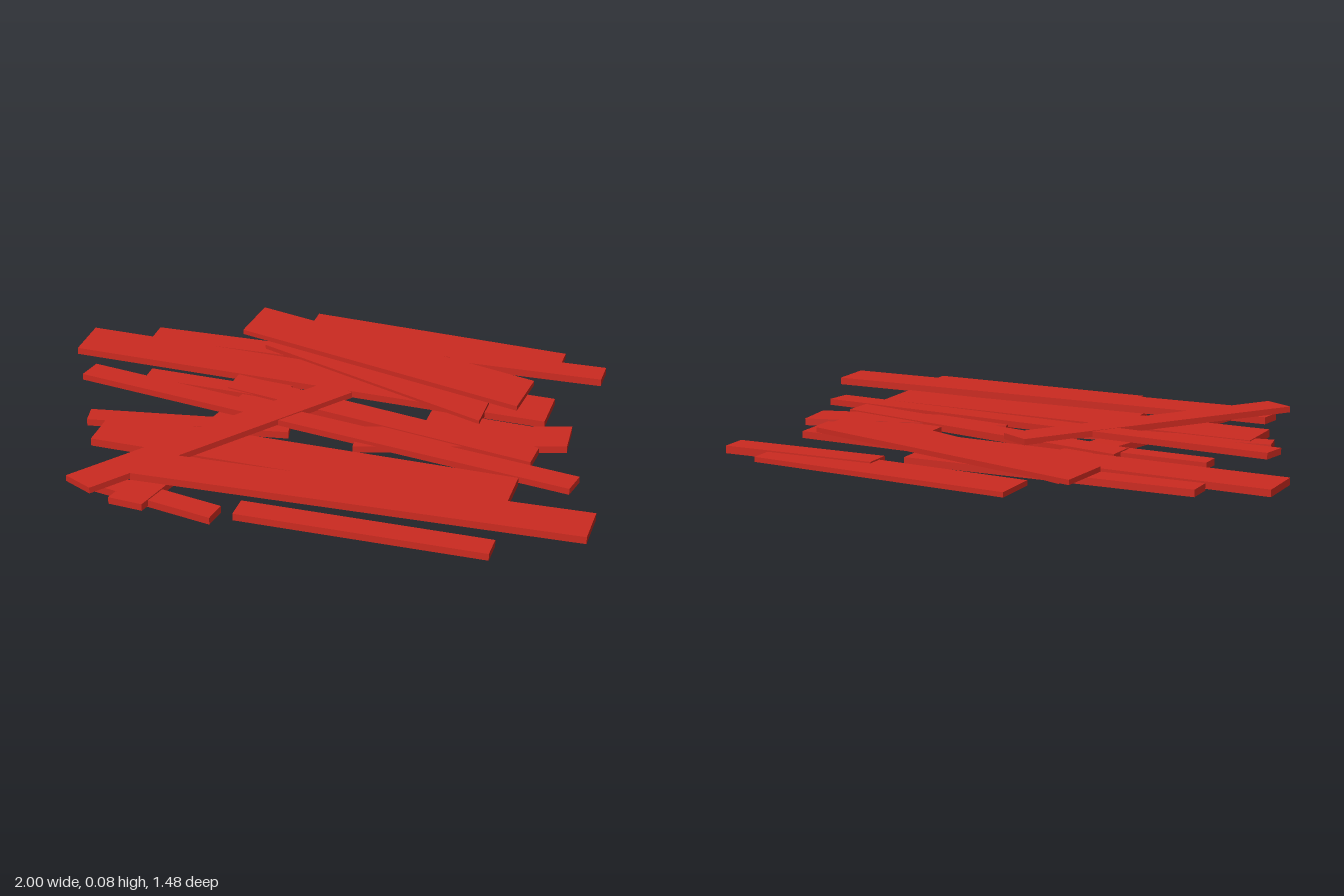
import * as THREE from 'three';

export function createModel() {
  const group = new THREE.Group();
  group.name = 'plankPile';
  const red = new THREE.MeshStandardMaterial({ color: 0xcc2a20 });
  red.name = 'red paint';

  // Plank between end centres a and b [x, z]; end = edge vector across its end;
  // ya, yb = underside heights at the two ends; t = thickness.
  function plank(name, a, b, end, ya, yb = ya, t = 0.024) {
    const m = new THREE.Matrix4().makeBasis(
      new THREE.Vector3(b[0] - a[0], yb - ya, b[1] - a[1]),
      new THREE.Vector3(0, t, 0),
      new THREE.Vector3(end[0], 0, end[1])
    );
    m.setPosition((a[0] + b[0]) / 2, (ya + yb + t) / 2, (a[1] + b[1]) / 2);
    const mesh = new THREE.Mesh(new THREE.BoxGeometry(1, 1, 1).applyMatrix4(m), red);
    mesh.name = name;
    group.add(mesh);
  }

  // Back planks
  plank('backWidePlank', [-0.262, -0.657], [0.674, -0.6], [0, 0.168], 0.02, 0.02, 0.017);
  plank('backShortPlank', [0.289, -0.55], [0.834, -0.562], [0, 0.093], 0.016, 0.016, 0.026);
  plank('backLeftPlank', [-0.78, -0.417], [0.23, -0.435], [0, 0.09], 0.015);
  plank('longBackPlank', [-1, -0.295], [0.711, -0.239], [0, 0.17], 0.021);
  plank('topDiagonalPlank', [-0.452, -0.557], [0.618, -0.274], [-0.016, 0.198], 0.06, 0.06, 0.017);
  plank('buriedDiagonalPlank', [-0.36, -0.48], [0.503, -0.15], [0, 0.14], 0.03);

  // Middle planks
  plank('rightFlatPlank', [0.326, -0.085], [0.75, -0.068], [0, 0.09], 0.017);
  plank('rightSlantPlank', [0.134, 0.125], [0.813, -0.079], [0.011, 0.139], 0.02);
  plank('leftThinPlank', [-0.69, -0.104], [-0.05, -0.085], [0, 0.072], 0.02);
  plank('middlePlank', [-0.385, -0.127], [0.73, 0.084], [-0.006, 0.102], 0.024);
  plank('tiltedPlank', [-0.874, -0.014], [0.89, 0.216], [-0.016, 0.086], 0.055, 0.021, 0.022);
  plank('leftSlantPlank', [-0.778, 0.234], [-0.1, 0.125], [0.014, 0.072], 0.018);

  // Front planks
  plank('wideFrontPlank', [-0.706, 0.304], [0.711, 0.333], [0, 0.184], 0.018, 0.018, 0.027);
  plank('buriedFrontPlank', [-0.21, 0.45], [0.52, 0.47], [0, 0.086], 0.015);
  plank('longFrontPlank', [-0.487, 0.533], [1, 0.496], [0, 0.15], 0.041, 0.041, 0.025);
  plank('frontRightPlank', [-0.1, 0.674], [0.727, 0.674], [0, 0.086], 0.019);
  plank('frontShortPlank', [-0.626, 0.622], [-0.166, 0.694], [-0.011, 0.08], 0.016, 0, 0.025);

  // Steep crossing planks
  plank('crossingPlank', [-0.008, -0.156], [-0.626, 0.707], [-0.102, -0.053], 0.045, 0.045, 0.021);
  plank('buriedCrossingPlank', [-0.241, -0.17], [-0.457, 0.729], [-0.118, -0.011], 0.016, 0.012);

  return group;
}
